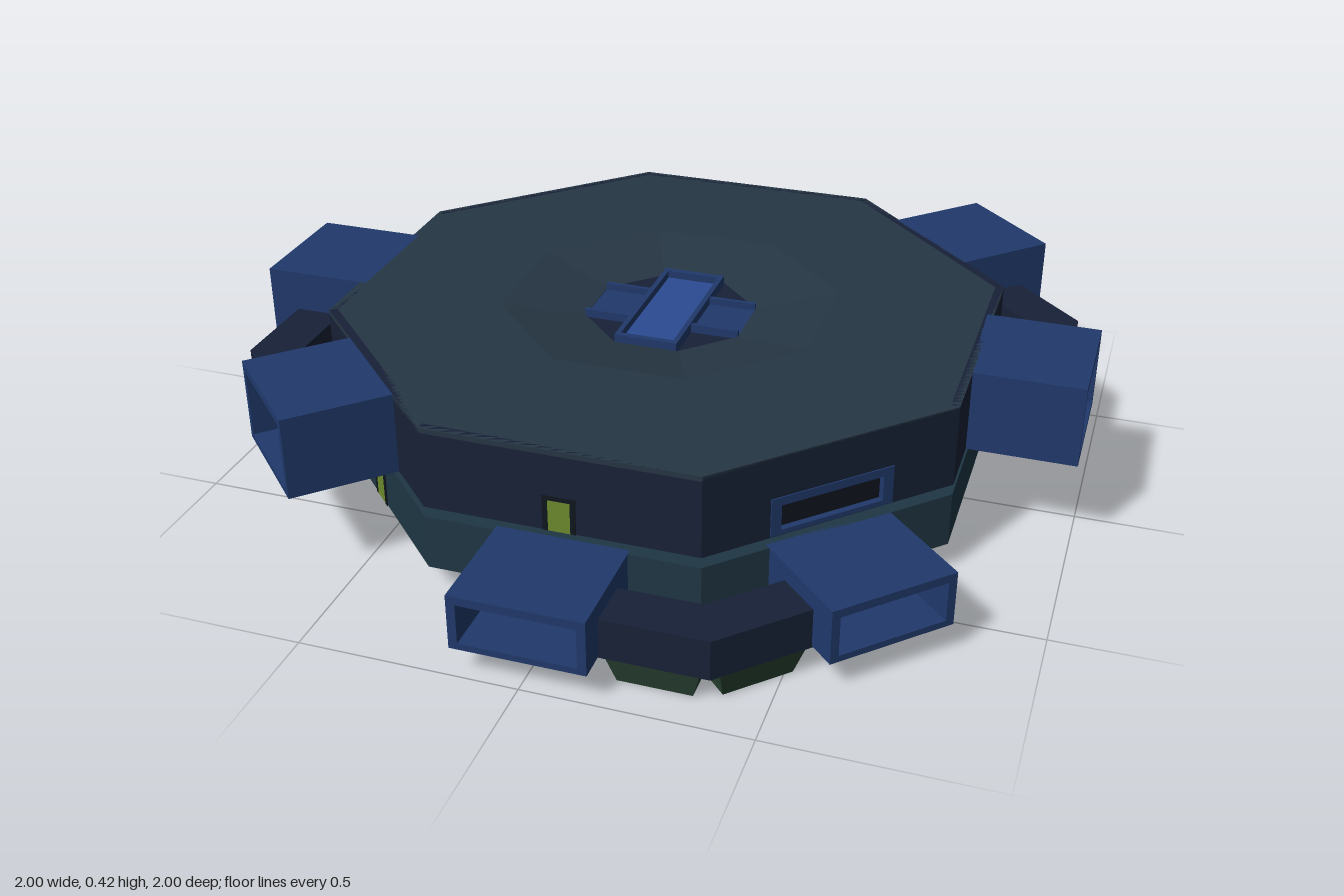
import * as THREE from 'three';

const T8 = Math.tan(Math.PI / 8), C8 = Math.cos(Math.PI / 8);
const rad = (d) => (d * Math.PI) / 180;
const mat = (color) => new THREE.MeshStandardMaterial({ color, side: THREE.DoubleSide, flatShading: true });
const M = {
  roof: mat(0x263644), wall: mat(0x172136), lowWall: mat(0x1f3644), bay: mat(0x20396c),
  pale: mat(0x2b4b92), dark: mat(0x10161f), trough: mat(0x2a4434), door: mat(0x6c8a2c),
};

function add(parent, name, geo, material, x = 0, y = 0, z = 0) {
  const m = new THREE.Mesh(geo, material);
  m.name = name;
  m.position.set(x, y, z);
  parent.add(m);
  return m;
}

// Group turned so that its +z points outward at the given bearing
function facing(parent, name, deg) {
  const g = new THREE.Group();
  g.name = name;
  g.rotation.y = rad(deg);
  parent.add(g);
  return g;
}

const box = (w, h, d) => new THREE.BoxGeometry(w, h, d);
const poly = (pts) => new THREE.Shape(pts.map(([x, y]) => new THREE.Vector2(x, y)));
const rect = (w, y0, y1) => poly([[-w, y0], [w, y0], [w, y1], [-w, y1]]);
const octagon = (a) => poly([...Array(8).keys()].map((i) => {
  const t = Math.PI / 8 + (i * Math.PI) / 4;
  return [(a / C8) * Math.cos(t), (a / C8) * Math.sin(t)];
}));
const extrude = (shape, depth) => new THREE.ExtrudeGeometry(shape, { depth, bevelEnabled: false });

// Horizontal plate, optionally with a hole
function plate(shape, height, hole) {
  if (hole) shape.holes.push(hole);
  return extrude(shape, height).rotateX(-Math.PI / 2);
}

// Upright rectangle with an opening, extruded outward
function frame(w, y0, y1, depth, hole) {
  const s = rect(w, y0, y1);
  if (hole) s.holes.push(rect(...hole));
  return extrude(s, depth);
}

// Block whose underside is narrower than its top
function taperedBlock(w, h, d, kx, kz) {
  const g = box(w, h, d), p = g.attributes.position;
  for (let i = 0; i < p.count; i++) {
    if (p.getY(i) < 0) p.setXYZ(i, p.getX(i) * kx, p.getY(i), p.getZ(i) * kz);
  }
  g.computeVertexNormals();
  return g;
}

// Docking bay: hollow sleeve with an inner back frame
function bay(parent, deg, upper) {
  const g = facing(parent, upper ? 'upperBay' : 'lowerBay', deg);
  const [y0, y1] = upper ? [0.225, 0.42] : [0.07, 0.2];
  add(g, 'baySleeve', frame(0.15, y0, y1, 0.265, [0.13, y0 + 0.015, y1 - 0.02]), M.bay, 0, 0, 0.735);
  const hole = upper ? [0.08, 0.24, 0.375] : [0.08, 0.1, 0.16];
  add(g, 'bayInnerFrame', frame(0.14, y0 + 0.005, y1 - 0.005, 0.02, hole), M.bay, 0, 0, 0.78);
  if (!upper) {
    add(g, 'bayBulkhead', box(0.16, 0.065, 0.01), M.dark, 0, 0.13, 0.765);
    add(g, 'bayBeam', box(0.13, 0.025, 0.03), M.pale, 0, 0.155, 0.8);
  }
}

// Angled corridor between a bay and its neighbour 45 degrees on
function corridor(parent, deg, dy) {
  const g = facing(parent, 'corridor', deg);
  const side = (r) => {
    const c = r * T8, k = (c - 0.14) * Math.SQRT1_2;
    return [[0.14, -r], [c, -r], [c + k, -r + k]];
  };
  const plan = poly([...side(0.93), ...side(0.815).reverse()]);
  add(g, 'corridorBody', plate(plan, 0.095), M.wall, 0, 0.065 + dy, 0);
  for (const [turn, sx] of [[0, 1], [45, -1]]) {
    const leg = facing(g, 'corridorLeg', turn);
    add(leg, 'corridorTrough', taperedBlock(0.2, 0.068, 0.112, 0.82, 0.65), M.trough, sx * 0.262, 0.034 + dy, 0.873);
  }
}

// Door that shows on both faces of the wall
function doorway(g, y) {
  add(g, 'door', box(0.05, 0.075, 0.024), M.door, 0, y + 0.0375, 0.74);
  add(g, 'doorLintel', box(0.075, 0.01, 0.025), M.dark, 0, y + 0.08, 0.74);
  for (const s of [-1, 1]) add(g, 'doorJamb', box(0.012, 0.08, 0.025), M.dark, s * 0.031, y + 0.04, 0.74);
}

export function createModel() {
  const root = new THREE.Group();
  root.name = 'station';
  const upperBays = [90, 135, 270, 315];

  // Decks
  add(root, 'upperRoof', plate(octagon(0.75), 0.012, octagon(0.376)), M.roof, 0, 0.408);
  add(root, 'upperFloor', plate(octagon(0.74), 0.01), M.wall, 0, 0.225);
  add(root, 'neck', plate(octagon(0.6), 0.03), M.dark, 0, 0.197);
  add(root, 'lowerRoof', plate(octagon(0.75), 0.012), M.lowWall, 0, 0.188);

  // Outer walls, eight to a deck
  for (let a = 0; a < 360; a += 45) {
    const up = upperBays.includes(a);
    const g = facing(root, 'side', a);
    const w = 0.75 * T8;
    // Openings for the bays, a framed panel and a pair of windows
    let hole = false;
    if (up) hole = [0.08, 0.24, 0.375];
    else if (a === 45) hole = [0.13, 0.235, 0.305];
    add(g, 'upperWall', frame(w, 0.225, 0.42, 0.02, hole), M.wall, 0, 0, 0.73);
    add(g, 'lowerWall', frame(w, 0.07, 0.2, 0.02), M.lowWall, 0, 0, 0.73);
    if (up && a % 90) doorway(g, 0.07);
    if (!up && a % 90 === 0) doorway(g, 0.225);
    if (a === 45) {
      add(g, 'panelFrame', frame(0.15, 0.228, 0.32, 0.02, [0.125, 0.24, 0.3]), M.bay, 0, 0, 0.733);
      add(g, 'panelGlass', box(0.26, 0.07, 0.01), M.dark, 0, 0.27, 0.733);
    }
    if (a === 225) {
      for (const s of [-1, 1]) {
        add(g, 'windowFrame', frame(0.035, 0.235, 0.315, 0.01, [0.025, 0.245, 0.305]), M.dark, s * 0.075, 0, 0.743);
        add(g, 'windowGlass', box(0.05, 0.06, 0.01), M.bay, s * 0.075, 0.275, 0.747);
      }
    }
    // Inner ring of partitions with doors in the lower deck
    add(g, 'innerPartition', frame(0.43 * T8, 0.08, 0.19, 0.012, [0.04, 0.09, 0.15]), M.dark, 0, 0, 0.42);
    add(g, 'innerDoor', box(0.08, 0.06, 0.008), M.bay, 0, 0.12, 0.426);
    bay(root, a, up);
  }
  for (const a of [0, 180]) corridor(root, a, 0);
  for (const a of [90, 270]) corridor(root, a, 0.16);

  // Sunken roof dish with a cross of railed beams over the open shaft
  const dish = new THREE.CylinderGeometry(0.376 / C8, 0.19 / C8, 0.035, 8, 1, true, Math.PI / 8);
  add(root, 'roofDish', dish, M.roof, 0, 0.4025);
  add(root, 'crossBeam', box(0.38, 0.006, 0.15), M.bay, 0, 0.38);
  add(root, 'centreBeam', box(0.13, 0.006, 0.36), M.pale, 0, 0.383);
  for (const s of [-1, 1]) {
    add(root, 'beamRail', box(0.012, 0.025, 0.38), M.bay, s * 0.07, 0.392);
    add(root, 'beamEnd', box(0.15, 0.025, 0.015), M.bay, 0, 0.392, s * 0.185);
    for (const t of [-1, 1]) add(root, 'crossRail', box(0.12, 0.02, 0.01), M.bay, t * 0.13, 0.39, s * 0.075);
  }

  // Hub seen from underneath
  add(root, 'ceilingHub', plate(octagon(0.14), 0.1, octagon(0.11)), M.bay, 0, 0.09);

  // Small broken shards under the lower deck rim
  for (const [x, z, h] of [[-0.72, 0.2, 0.03], [-0.08, 0.65, 0.025], [0.15, 0.6, 0.03], [0.65, 0.2, 0.05],
    [0.55, 0.38, 0.035], [-0.62, 0.36, 0.04]]) {
    add(root, 'shard', new THREE.ConeGeometry(0.025, h, 4).rotateX(Math.PI), M.dark, x, 0.075 - h / 2, z);
  }
  return root;
}
